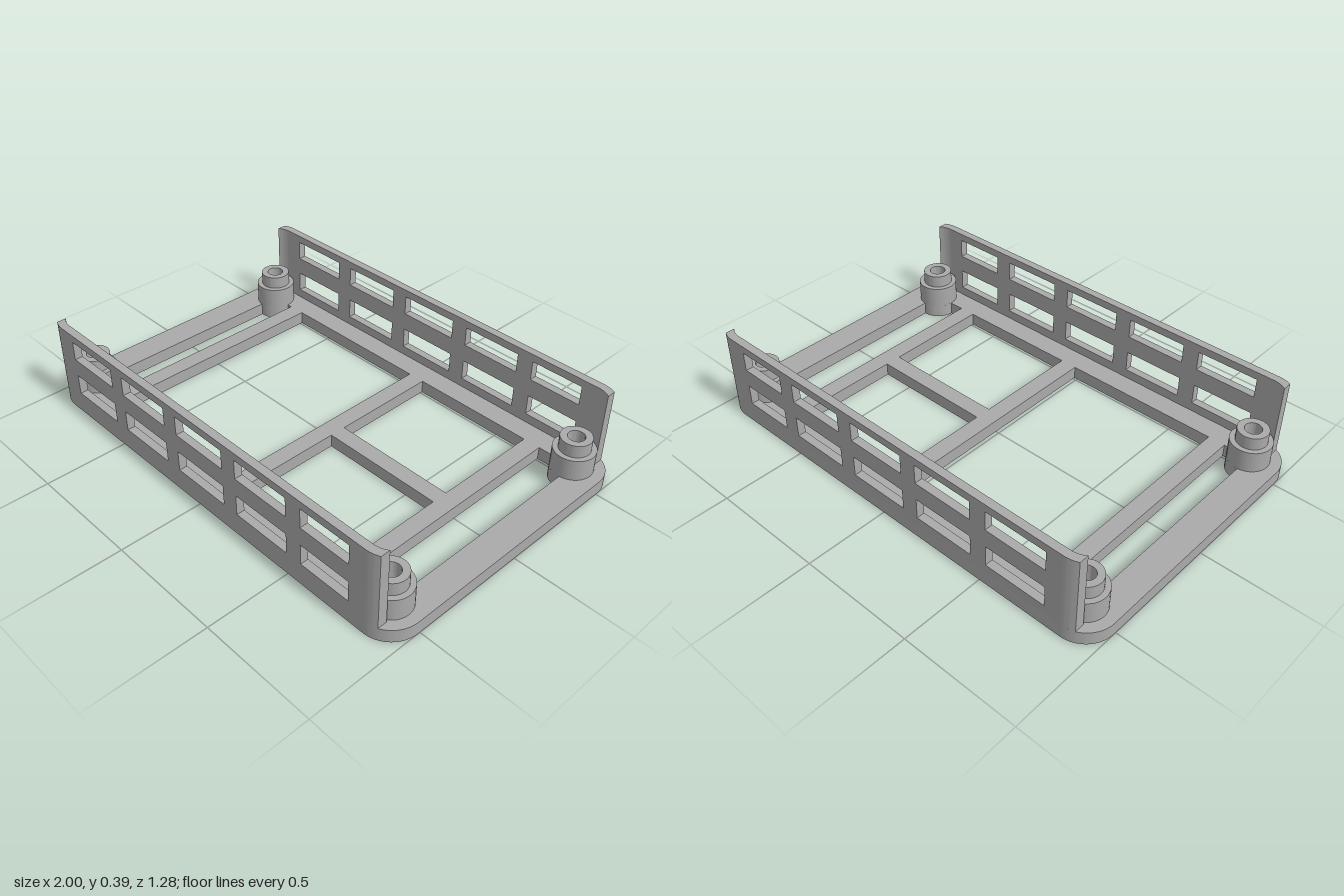
import * as THREE from 'three';
import { toCreasedNormals } from 'three/addons/utils/BufferGeometryUtils.js';

const CX = 0.87, CZ = 0.51;      // corner and post centres
const R = 0.13, WALL = 0.035;    // corner radius, wall thickness
const BASE = 0.057, TOP = 0.385; // base plate height, wall top
const POST = 0.086, BORE = 0.055;
const SIDE = 0.875;              // inner edge of the side rails

const grey = new THREE.MeshStandardMaterial({ color: 0xaaaaaa });
grey.name = 'grey plastic';

function part(name, geometry) {
  const mesh = new THREE.Mesh(toCreasedNormals(geometry, 0.6), grey);
  mesh.name = name;
  return mesh;
}

function extrude(shape, depth) {
  return new THREE.ExtrudeGeometry(shape, { depth, bevelEnabled: false, curveSegments: 16 });
}

// Extrudes a plan outline (x, -z) upwards
const extrudeUp = (shape, depth) => extrude(shape, depth).rotateX(-Math.PI / 2);

function rect(x0, x1, y0, y1) {
  return new THREE.Path([[x0, y0], [x1, y0], [x1, y1], [x0, y1]].map(p => new THREE.Vector2(...p)));
}

// End opening, its outer corners cut back around the posts
function endOpening(inner, s) {
  const path = new THREE.Path();
  const edge = CZ - Math.sqrt(POST ** 2 - (SIDE - CX) ** 2);
  const a = Math.acos((SIDE - CX) / POST);
  path.moveTo(s * inner, -CZ);
  path.lineTo(s * (CX - POST), -CZ);
  const n = 12;
  for (let i = 1; i < n; i++) {
    const t = Math.PI - (i / n) * (Math.PI - a);
    path.lineTo(s * (CX + POST * Math.cos(t)), -CZ + POST * Math.sin(t));
  }
  path.lineTo(s * SIDE, -edge);
  path.lineTo(s * SIDE, edge);
  for (let i = n - 1; i > 0; i--) {
    const t = Math.PI - (i / n) * (Math.PI - a);
    path.lineTo(s * (CX + POST * Math.cos(t)), CZ - POST * Math.sin(t));
  }
  path.lineTo(s * (CX - POST), CZ);
  path.lineTo(s * inner, CZ);
  path.closePath();
  return path;
}

function basePlate() {
  const shape = new THREE.Shape();
  shape.absarc(CX, CZ, R, 0, Math.PI / 2);
  shape.absarc(-CX, CZ, R, Math.PI / 2, Math.PI);
  shape.absarc(-CX, -CZ, R, Math.PI, 1.5 * Math.PI);
  shape.absarc(CX, -CZ, R, 1.5 * Math.PI, 2 * Math.PI);
  shape.closePath();
  // Openings between the cross bars
  shape.holes.push(
    endOpening(0.76, -1), endOpening(0.715, 1),
    rect(-0.685, 0.015, -CZ, CZ),
    rect(0.09, 0.64, 0.036, CZ), rect(0.09, 0.64, -CZ, -0.036)
  );
  for (const sx of [-1, 1]) for (const sz of [-1, 1]) {
    shape.holes.push(new THREE.Path().absarc(sx * CX, sz * CZ, BORE, 0, Math.PI * 2));
  }
  return part('basePlate', extrudeUp(shape, BASE));
}

// Stepped hollow screw post
function screwPost(x, z) {
  const profile = [
    [POST, BASE], [POST, 0.15], [0.064, 0.15], [0.064, 0.205],
    [0.035, 0.205], [0.035, 0.12], [BORE, 0.12], [BORE, BASE]
  ].map(p => new THREE.Vector2(...p));
  const mesh = part('screwPost', new THREE.LatheGeometry(profile, 40));
  mesh.position.set(x, 0, z);
  return mesh;
}

// Slotted wall whose ends follow the rounded corners
function ventWall(name, side) {
  const wall = new THREE.Group();
  wall.name = name;

  const panel = new THREE.Shape(rect(-CX, CX, BASE, TOP).getPoints());
  for (let i = 0; i < 5; i++) {
    const x0 = -0.8 + i * 0.342;
    const x1 = Math.min(x0 + 0.268, 0.8);
    panel.holes.push(rect(x0, x1, 0.097, 0.187), rect(x0, x1, 0.267, 0.352));
  }
  const panelGeo = extrude(panel, WALL);
  panelGeo.translate(0, 0, side > 0 ? CZ + R - WALL : -CZ - R);
  wall.add(part('slottedPanel', panelGeo));

  const reach = 0.057, ri = R - WALL;
  for (const sx of [-1, 1]) {
    const pts = [];
    const n = 8;
    for (let i = 0; i <= n; i++) {
      const d = reach * i / n;
      pts.push(new THREE.Vector2(sx * (CX + d), -side * (CZ + Math.sqrt(R * R - d * d))));
    }
    for (let i = n; i >= 0; i--) {
      const d = reach * i / n;
      pts.push(new THREE.Vector2(sx * (CX + d), -side * (CZ + Math.sqrt(ri * ri - d * d))));
    }
    wall.add(part('curvedWallEnd', extrudeUp(new THREE.Shape(pts), TOP - BASE).translate(0, BASE, 0)));
  }
  return wall;
}

export function createModel() {
  const model = new THREE.Group();
  model.name = 'ventedTray';
  model.add(basePlate(), ventWall('frontWall', 1), ventWall('backWall', -1));
  for (const sx of [-1, 1]) for (const sz of [-1, 1]) model.add(screwPost(sx * CX, sz * CZ));
  return model;
}
